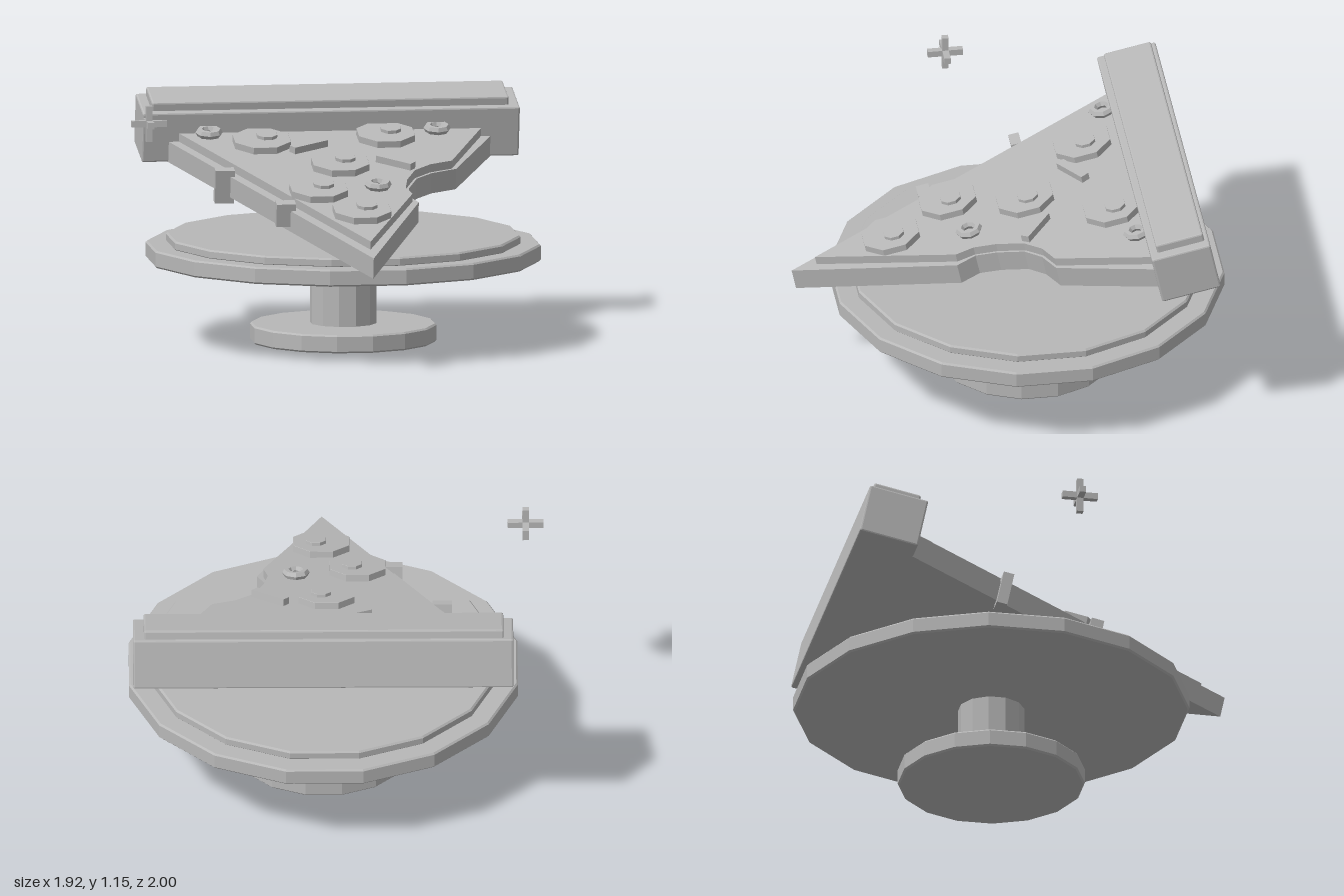
import * as THREE from 'three';
import { RoundedBoxGeometry } from 'three/addons/geometries/RoundedBoxGeometry.js';

const TILT = THREE.MathUtils.degToRad(12);

export function createModel() {
  const grey = new THREE.MeshStandardMaterial({ color: 0xb8b8b8, flatShading: true });
  grey.name = 'plain grey';

  const add = (parent, name, geometry, x = 0, y = 0, z = 0) => {
    const mesh = new THREE.Mesh(geometry, grey);
    mesh.name = name;
    mesh.position.set(x, y, z);
    parent.add(mesh);
    return mesh;
  };

  // Faceted disc with a small chamfer; apothem is the distance to a flat side
  const disc = (apothem, y0, y1, sides, c = 0.008) => {
    const r = apothem / Math.cos(Math.PI / sides);
    const profile = [[0, y0], [r - c, y0], [r, y0 + c], [r, y1 - c], [r - c, y1], [0, y1]];
    return new THREE.LatheGeometry(
      profile.map(([x, y]) => new THREE.Vector2(x, y)), sides, Math.PI / sides);
  };

  // Flat slab from an outline of [x, distance from the tip]
  const slab = (outline, depth) => {
    const shape = new THREE.Shape(outline.map(([x, d]) => new THREE.Vector2(x, d)));
    return new THREE.ExtrudeGeometry(shape, { depth, bevelEnabled: false }).rotateX(-Math.PI / 2);
  };

  const model = new THREE.Group();
  model.name = 'sliceOnStand';

  // Cake stand
  const stand = new THREE.Group();
  stand.name = 'stand';
  stand.position.set(0.055, 0, -0.098);
  model.add(stand);
  add(stand, 'standFoot', disc(0.425, 0, 0.085, 16));
  add(stand, 'standStem', disc(0.15, 0.08, 0.385, 12, 0.001));
  add(stand, 'standPlate', disc(0.9, 0.38, 0.46, 16));
  add(stand, 'standPlateTop', disc(0.807, 0.455, 0.5, 16));

  // Tilted slice: origin at the tip underside, -z runs towards the crust
  const slice = new THREE.Group();
  slice.name = 'slice';
  slice.position.set(0.055, 0.44, 0.98);
  slice.rotation.x = TILT;
  model.add(slice);

  // Dough and cheese, with a bite out of the left side
  add(slice, 'dough', slab([
    [0, 0], [0.305, 0.746], [0.265, 0.84], [0.285, 0.94], [0.335, 1.063],
    [0.415, 1.135], [0.535, 1.186], [0.765, 1.65], [-0.765, 1.65]], 0.1));
  add(slice, 'cheese', slab([
    [0, 0.12], [0.275, 0.752], [0.255, 0.84], [0.275, 0.945], [0.327, 1.07],
    [0.408, 1.145], [0.515, 1.19], [0.718, 1.65], [-0.718, 1.65]], 0.14));

  // Crust
  add(slice, 'crust', new RoundedBoxGeometry(1.76, 0.24, 0.28, 1, 0.008), 0.005, 0.12, -1.76);
  add(slice, 'crustTop', new RoundedBoxGeometry(1.665, 0.06, 0.225, 1, 0.008), 0.003, 0.25, -1.767);

  // Places a topping by its seen-from-above position at a height over the dough base
  const local = (x, z, h) => [x - 0.055, h, (z - 0.98 - h * Math.sin(TILT)) / Math.cos(TILT)];

  // Round toppings, each with a small off-centre button
  for (const [x, z] of [[-0.285, -0.405], [0.3, -0.46], [0.04, -0.09], [-0.105, 0.25], [0.06, 0.54]]) {
    const [lx, , lz] = local(x, z, 0.17);
    add(slice, 'roundTopping', disc(0.13, 0.135, 0.172, 8, 0.001), lx, 0, lz);
    add(slice, 'toppingButton', disc(0.046, 0.17, 0.188, 8, 0.001), lx + 0.025, 0, lz - 0.015);
  }

  // Olive rings
  for (const [x, z] of [[-0.515, -0.535], [0.55, -0.54], [0.18, 0.19]]) {
    add(slice, 'oliveRing', new THREE.TorusGeometry(0.044, 0.02, 6, 8).rotateX(Math.PI / 2),
      ...local(x, z, 0.157));
  }

  // Pepper strips
  for (const [x, z, turn] of [[-0.075, -0.335, 0.52], [0.3, -0.105, -0.69]]) {
    add(slice, 'pepperStrip', new THREE.BoxGeometry(0.19, 0.035, 0.042), ...local(x, z, 0.155))
      .rotation.y = turn;
  }

  // Cheese drips over the right edge
  add(slice, 'cheeseDrip', new THREE.BoxGeometry(0.09, 0.16, 0.05), -0.55, 0.05, -1.156);
  add(slice, 'cheeseDrip', new THREE.BoxGeometry(0.09, 0.11, 0.06), -0.325, 0.078, -0.686);

  // Floating sparkle of three crossed bars
  const sparkle = new THREE.Group();
  sparkle.name = 'sparkle';
  sparkle.position.set(-0.883, 1.065, 0.145);
  model.add(sparkle);
  for (let axis = 0; axis < 3; axis++) {
    const size = [0.03, 0.03, 0.03];
    size[axis] = 0.165;
    add(sparkle, 'sparkleBar', new THREE.BoxGeometry(...size));
  }

  return model;
}
